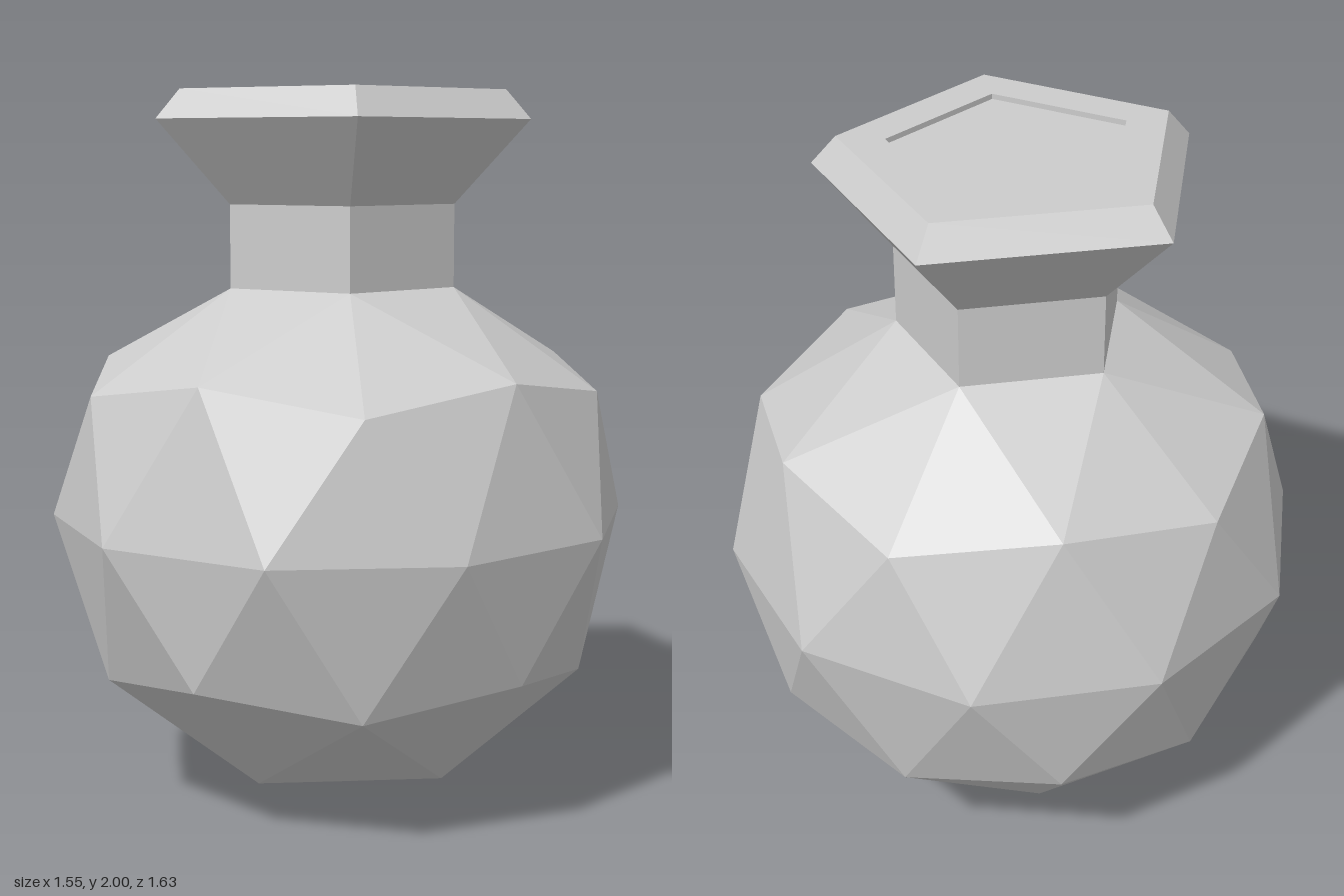
import * as THREE from 'three';

const R = 0.815;        // body radius
const NECK_R = 0.326;   // neck radius
const NECK_Y = 1.46;    // where the shoulder meets the neck

const grey = new THREE.MeshStandardMaterial({ color: 0xcccccc });
grey.name = 'grey';

// Separate the faces so each one is shaded flat
function faceted(geometry) {
  const g = geometry.index ? geometry.toNonIndexed() : geometry;
  g.computeVertexNormals();
  return g;
}

// Faceted ball with a vertex at the bottom; its top cap is opened and pulled in to the neck
function bodyGeometry() {
  const ball = new THREE.IcosahedronGeometry(R, 1);
  ball.rotateZ(-Math.atan(2 / (1 + Math.sqrt(5))));
  const pos = ball.attributes.position;
  const kept = [];
  const v = new THREE.Vector3();
  for (let i = 0; i < pos.count; i += 3) {
    const inCap = [0, 1, 2].every((k) => pos.getY(i + k) > 0.8 * R);
    if (inCap) continue;
    for (let k = 0; k < 3; k++) {
      v.fromBufferAttribute(pos, i + k);
      if (v.y > 0.8 * R) {
        const s = NECK_R / Math.hypot(v.x, v.z);
        v.set(v.x * s, NECK_Y - R, v.z * s);
      }
      kept.push(v.x, v.y + R, v.z);
    }
  }
  const g = new THREE.BufferGeometry();
  g.setAttribute('position', new THREE.Float32BufferAttribute(kept, 3));
  return faceted(g);
}

// Five-sided turned part with one corner pointing to +x
function pentagonLathe(profile) {
  const points = profile.map(([r, y]) => new THREE.Vector2(r, y));
  return faceted(new THREE.LatheGeometry(points, 5, Math.PI / 2));
}

export function createModel() {
  const model = new THREE.Group();
  model.name = 'flask';
  const add = (name, geometry) => {
    const mesh = new THREE.Mesh(geometry, grey);
    mesh.name = name;
    model.add(mesh);
  };

  add('body', bodyGeometry());
  add('neck', pentagonLathe([[NECK_R, NECK_Y], [NECK_R, 1.69]]));
  // Flared lip, bevelled rim and the shallow step down to the stopper
  add('lip', pentagonLathe([[NECK_R, 1.69], [0.535, 1.92], [0.466, 2], [0.335, 2], [0.335, 1.985]]));
  add('stopper', pentagonLathe([[0.335, 1.985], [0, 1.985]]));
  return model;
}
